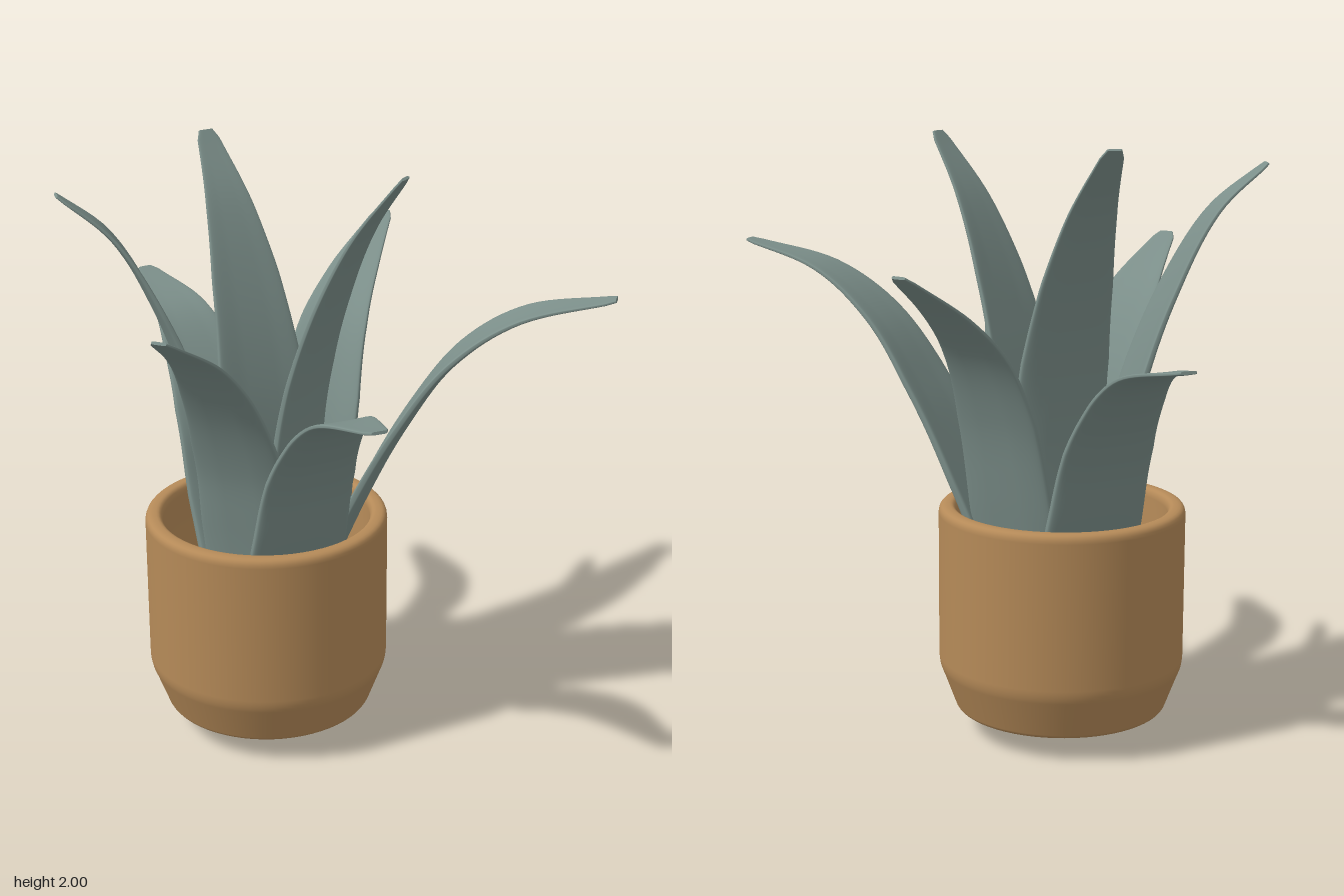
import * as THREE from 'three';

const potMaterial = new THREE.MeshStandardMaterial({ color: 0xb58a58 });
const leafMaterial = new THREE.MeshStandardMaterial({ color: 0x7c8f8a });

// Half width of a leaf along its length: [fraction of length, half width]
const WIDTHS = [[0, 0.13], [0.03, 0.148], [0.2, 0.16], [0.42, 0.168], [0.6, 0.155], [0.74, 0.126], [0.86, 0.088], [0.95, 0.053], [0.985, 0.04], [1, 0.025]];

// Leaf bends: [fraction of the way from base to tip, height]
const LOW = [[0, 0.12], [0.16, 0.45], [0.305, 0.8], [0.385, 1.0], [0.485, 1.156], [0.67, 1.32], [1, 1.40]];
const INNER = [[0, 0.12], [0.01, 0.5], [0.04, 0.9], [0.13, 1.2], [0.33, 1.5], [0.64, 1.79], [1, 2.0]];

// Base and tip as [x, z]
const LEAVES = [
  { name: 'leftLeaf', base: [-0.25, -0.01], tip: [0.89, 0.01], bend: [[0, 0.11], [0.12, 0.45], [0.265, 0.84], [0.41, 1.156], [0.555, 1.39], [0.735, 1.54], [1, 1.62]] },
  { name: 'frontLeaf', base: [-0.275, 0.05], tip: [-0.39, 0.72], bend: [[0, 0.01], [0.06, 0.4], [0.16, 0.8], [0.23, 1.0], [0.385, 1.235], [0.63, 1.45], [1, 1.62]] },
  { name: 'backLeaf', base: [-0.2, -0.045], tip: [-0.015, -0.745], bend: [[0, 0.04], [0.09, 0.4], [0.22, 0.8], [0.34, 1.13], [0.48, 1.34], [0.67, 1.48], [1, 1.64]] },
  { name: 'rightLeaf', base: [-0.265, -0.055], tip: [-0.86, 0.27], bend: [[0, 0.12], [0.1, 0.45], [0.23, 0.8], [0.37, 1.2], [0.53, 1.5], [0.75, 1.77], [1, 1.92]] },
  { name: 'lowBackLeaf', base: [-0.26, 0.01], tip: [-0.88, -0.64], bend: LOW },
  { name: 'lowFrontLeaf', base: [-0.24, 0.03], tip: [0.28, 0.73], bend: LOW },
  { name: 'innerLeftLeaf', base: [-0.165, 0.015], tip: [0.23, 0.12], bend: INNER },
  { name: 'innerRightLeaf', base: [-0.26, -0.05], tip: [-0.545, -0.335], bend: INNER },
];

function widthAt(u) {
  let i = 1;
  while (i < WIDTHS.length - 1 && WIDTHS[i][0] < u) i++;
  const [u0, w0] = WIDTHS[i - 1], [u1, w1] = WIDTHS[i];
  return THREE.MathUtils.lerp(w0, w1, (u - u0) / (u1 - u0));
}

// Squares off a circle coordinate
const squared = (v) => Math.sign(v) * Math.pow(Math.abs(v), 0.45);

// Sweeps a shallow, square-edged channel section along the bend of the leaf
function leafGeometry({ base, tip, bend }) {
  const curve = new THREE.CatmullRomCurve3(bend.map(([t, y]) => new THREE.Vector3(
    THREE.MathUtils.lerp(base[0], tip[0], t), y, THREE.MathUtils.lerp(base[1], tip[1], t))), false, 'centripetal');
  const outward = new THREE.Vector3(tip[0] - base[0], 0, tip[1] - base[1]).normalize();
  const across = new THREE.Vector3(0, 1, 0).cross(outward);
  const rings = 60, sides = 36, pos = [], index = [];

  const addRing = (u) => {
    const center = curve.getPointAt(u);
    const normal = curve.getTangentAt(u).cross(across).normalize();
    const w = widthAt(u);
    const thick = THREE.MathUtils.lerp(0.03, 0.005, u);
    const curl = 0.016 * Math.min(1, u * 3, (1 - u) * 2);
    for (let k = 0; k < sides; k++) {
      const a = (k + 0.5) / sides * Math.PI * 2;
      const c = squared(Math.cos(a)), s = squared(Math.sin(a));
      const lift = thick * s + curl * (c * c - 0.5);
      const p = center.clone().addScaledVector(across, w * c).addScaledVector(normal, lift);
      pos.push(p.x, p.y, p.z);
    }
  };
  for (let j = 0; j <= rings; j++) addRing(j / rings);
  for (let j = 0; j < rings; j++) {
    for (let k = 0; k < sides; k++) {
      const a = j * sides + k, b = j * sides + (k + 1) % sides;
      index.push(a, b, b + sides, a, b + sides, a + sides);
    }
  }
  // End caps have their own rings so that their rims stay sharp
  for (const u of [0, 1]) {
    const start = pos.length / 3;
    addRing(u);
    for (let k = 1; k < sides - 1; k++) {
      if (u) index.push(start, start + k, start + k + 1);
      else index.push(start, start + k + 1, start + k);
    }
  }
  const geometry = new THREE.BufferGeometry();
  geometry.setAttribute('position', new THREE.Float32BufferAttribute(pos, 3));
  geometry.setIndex(index);
  geometry.computeVertexNormals();
  return geometry;
}

// Hollow pot with a tapered foot and rounded rim
function potGeometry() {
  const path = new THREE.Path();
  path.moveTo(0, 0.085);
  path.lineTo(0.335, 0.085);
  path.quadraticCurveTo(0.35, 0.085, 0.357, 0.1);
  path.lineTo(0.4, 0.215);
  path.quadraticCurveTo(0.412, 0.24, 0.412, 0.27);
  path.lineTo(0.412, 0.76);
  path.quadraticCurveTo(0.412, 0.79, 0.385, 0.79);
  path.lineTo(0.375, 0.79);
  path.quadraticCurveTo(0.355, 0.79, 0.353, 0.76);
  path.lineTo(0.345, 0.27);
  path.lineTo(0.31, 0.17);
  path.lineTo(0, 0.17);
  return new THREE.LatheGeometry(path.getPoints(5), 64);
}

export function createModel() {
  const model = new THREE.Group();
  model.name = 'pottedPlant';

  const pot = new THREE.Mesh(potGeometry(), potMaterial);
  pot.name = 'pot';
  pot.position.set(-0.257, 0, 0.022);
  model.add(pot);

  const leaves = new THREE.Group();
  leaves.name = 'leaves';
  for (const spec of LEAVES) {
    const leaf = new THREE.Mesh(leafGeometry(spec), leafMaterial);
    leaf.name = spec.name;
    leaves.add(leaf);
  }
  model.add(leaves);
  return model;
}
